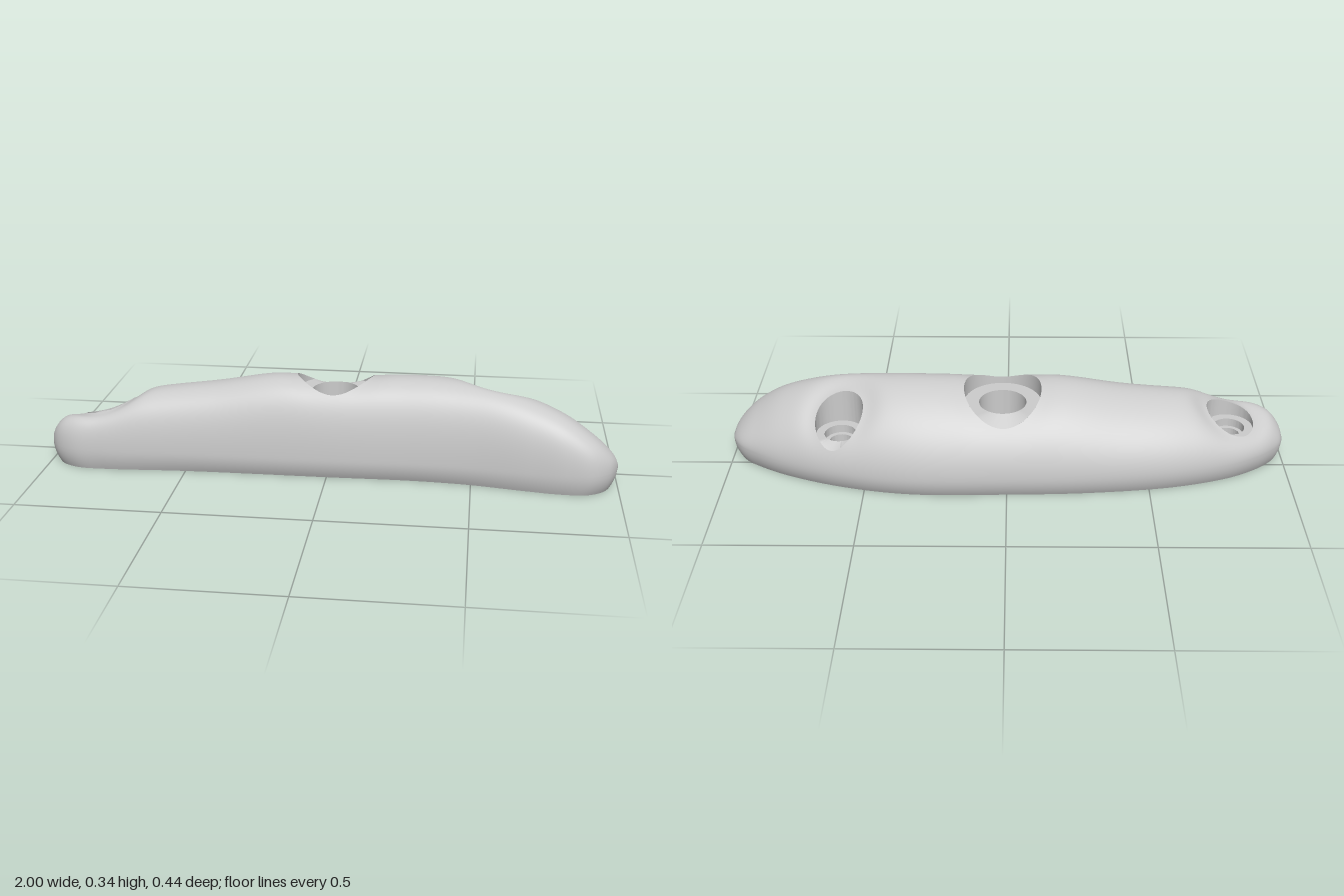
import * as THREE from 'three';
import { toCreasedNormals } from 'three/addons/utils/BufferGeometryUtils.js';

const BELLY = 0.07;   // height of the widest line
const SKEW = 0.3;     // moves the ridge towards the front
const NX = 280, NA = 90, NT = 8;

// Smooth curve through [x, value] points, read back by x
function profile(points) {
  const pts = new THREE.CatmullRomCurve3(points.map(([x, v]) => new THREE.Vector3(x, v, 0))).getPoints(600);
  return (x) => {
    let i = 1;
    while (i < pts.length - 1 && pts[i].x < x) i++;
    const a = pts[i - 1], b = pts[i];
    const t = THREE.MathUtils.clamp((x - a.x) / (b.x - a.x || 1), 0, 1);
    return a.y + (b.y - a.y) * t;
  };
}

const ridge = profile([[-1, 0.07], [-0.985, 0.115], [-0.95, 0.16], [-0.9, 0.19], [-0.8, 0.228], [-0.68, 0.26],
  [-0.4, 0.297], [-0.17, 0.333], [0.2, 0.338], [0.4, 0.338], [0.6, 0.317], [0.8, 0.252], [0.9, 0.19],
  [0.95, 0.147], [0.985, 0.105], [1, 0.07]]);
const front = profile([[-1, 0.07], [-0.99, 0.11], [-0.96, 0.15], [-0.9, 0.18], [-0.8, 0.187], [-0.5, 0.174], [0, 0.17],
  [0.3, 0.165], [0.5, 0.175], [0.7, 0.203], [0.82, 0.215], [0.91, 0.207], [0.965, 0.17], [0.99, 0.125], [1, 0.08]]);
const back = profile([[-1, 0.07], [-0.985, 0.03], [-0.95, -0.01], [-0.9, -0.05], [-0.8, -0.105], [-0.6, -0.165],
  [-0.3, -0.205], [0, -0.219], [0.35, -0.219], [0.6, -0.172], [0.8, -0.1], [0.9, -0.045], [0.96, 0], [0.99, 0.045], [1, 0.08]]);

// Bolt holes: R recess radius, floor recess height, steps = [radius, depth below the floor]
const HOLES = [
  { name: 'rightScrewHole', x: -0.795, z: 0.035, R: 0.085, floor: 0.14, r: 0.04, dip: 0.03, steps: [[0.055, 0], [0.055, 0.03], [0.04, 0.03]] },
  { name: 'centreBoltHole', x: 0.015, z: -0.015, R: 0.135, floor: 0.268, r: 0.083, dip: 0.006, steps: [[0.083, 0]] },
  { name: 'leftScrewHole', x: 0.585, z: -0.07, R: 0.085, floor: 0.17, r: 0.04, dip: 0.025, steps: [[0.055, 0], [0.055, 0.03], [0.04, 0.03]] },
];

// Height of the outer skin above a plan position
function height(x, z) {
  const zc = (front(x) + back(x)) / 2, hw = Math.max((front(x) - back(x)) / 2, 1e-5);
  const w = THREE.MathUtils.clamp((z - zc) / hw, -1, 1);
  const c = (1 - Math.sqrt(Math.max(0, 1 - 4 * SKEW * (w - SKEW)))) / (2 * SKEW);
  const s = Math.sqrt(Math.max(0, 1 - c * c));
  let y = ridge(x) - BELLY;
  for (const h of HOLES) {
    const d = Math.max(0, Math.hypot(x - h.x, z - h.z) - h.R) / 0.05;
    y -= h.dip * Math.exp(-d * d) * Math.min(1, y / 0.1);
  }
  return BELLY + Math.max(0, y) * s;
}

// One point of the skin: row i along x, column j from front foot over the ridge to back foot
function skinPoint(i, j) {
  const x = Math.sin((i / NX - 0.5) * Math.PI);
  const zc = (front(x) + back(x)) / 2, hw = (front(x) - back(x)) / 2;
  const side = j < NT ? j : j > NT + NA ? 2 * NT + NA - j : NT;
  if (side < NT) {
    const q = (1 - side / NT) ** 2;
    return new THREE.Vector3(x * (1 - 0.02 * q), BELLY * side / NT, zc + (j < NT ? hw : -hw) * (1 - 0.1 * q));
  }
  const a = (j - NT) / NA * Math.PI;
  const z = zc + hw * (Math.cos(a) + SKEW * Math.sin(a) ** 2);
  return new THREE.Vector3(x, height(x, z), z);
}

// Skin with the recess openings cut out; vertices at an opening are moved onto its circle
function skinGeometry() {
  const cols = NA + 2 * NT + 1, points = [], inside = [], index = [];
  for (let i = 0; i <= NX; i++) for (let j = 0; j < cols; j++) {
    const p = skinPoint(i, j);
    points.push(p);
    inside.push(j > NT && j < NT + NA ? HOLES.find((h) => Math.hypot(p.x - h.x, p.z - h.z) < h.R) : undefined);
  }
  const tri = (...t) => { if (t.some((k) => !inside[k])) index.push(...t); };
  for (let i = 0; i < NX; i++) for (let j = 0; j < cols - 1; j++) {
    const a = i * cols + j, b = a + cols;
    tri(a, b, a + 1);
    tri(b, b + 1, a + 1);
  }
  points.forEach((p, k) => {
    const h = inside[k];
    if (!h) return;
    const a = Math.atan2(p.z - h.z, p.x - h.x);
    p.x = h.x + h.R * Math.cos(a);
    p.z = h.z + h.R * Math.sin(a);
    p.y = height(p.x, p.z);
  });
  const g = new THREE.BufferGeometry().setFromPoints(points);
  g.setIndex(index);
  g.computeVertexNormals();
  return g;
}

// Recess wall, floor, step and through bore as rings
function boreGeometry(h) {
  const SEG = 72, points = [], index = [];
  const rings = [[h.R, null], [h.R, h.floor], ...h.steps.map(([r, d]) => [r, h.floor - d]), [h.r, 0]];
  for (const [r, level] of rings) for (let k = 0; k <= SEG; k++) {
    const a = k / SEG * Math.PI * 2;
    const x = h.x + r * Math.cos(a), z = h.z + r * Math.sin(a), top = height(x, z);
    points.push(new THREE.Vector3(x, level === null ? top : Math.min(level, top), z));
  }
  for (let i = 0; i < rings.length - 1; i++) for (let k = 0; k < SEG; k++) {
    const a = i * (SEG + 1) + k, b = a + SEG + 1;
    index.push(a, b, a + 1, b, b + 1, a + 1);
  }
  const g = new THREE.BufferGeometry().setFromPoints(points);
  g.setIndex(index);
  return toCreasedNormals(g, 0.6);
}

// Flat underside with the bore openings
function baseGeometry() {
  const outline = [], last = NA + 2 * NT;
  for (let i = 0; i <= NX; i++) outline.push(skinPoint(i, 0));
  for (let i = NX - 1; i > 0; i--) outline.push(skinPoint(i, last));
  const shape = new THREE.Shape(outline.map((p) => new THREE.Vector2(p.x, p.z)));
  for (const h of HOLES) shape.holes.push(new THREE.Path().absarc(h.x, h.z, h.r, 0, Math.PI * 2));
  return new THREE.ShapeGeometry(shape, 36).rotateX(Math.PI / 2);
}

export function createModel() {
  const group = new THREE.Group();
  group.name = 'climbingHold';
  const solid = new THREE.MeshStandardMaterial({ color: 0xcccccc });
  const open = new THREE.MeshStandardMaterial({ color: 0xcccccc, side: THREE.DoubleSide });
  const add = (name, geometry, material) => {
    const mesh = new THREE.Mesh(geometry, material);
    mesh.name = name;
    group.add(mesh);
  };
  add('curvedBody', skinGeometry(), solid);
  add('flatBase', baseGeometry(), solid);
  for (const h of HOLES) add(h.name, boreGeometry(h), open);
  return group;
}
